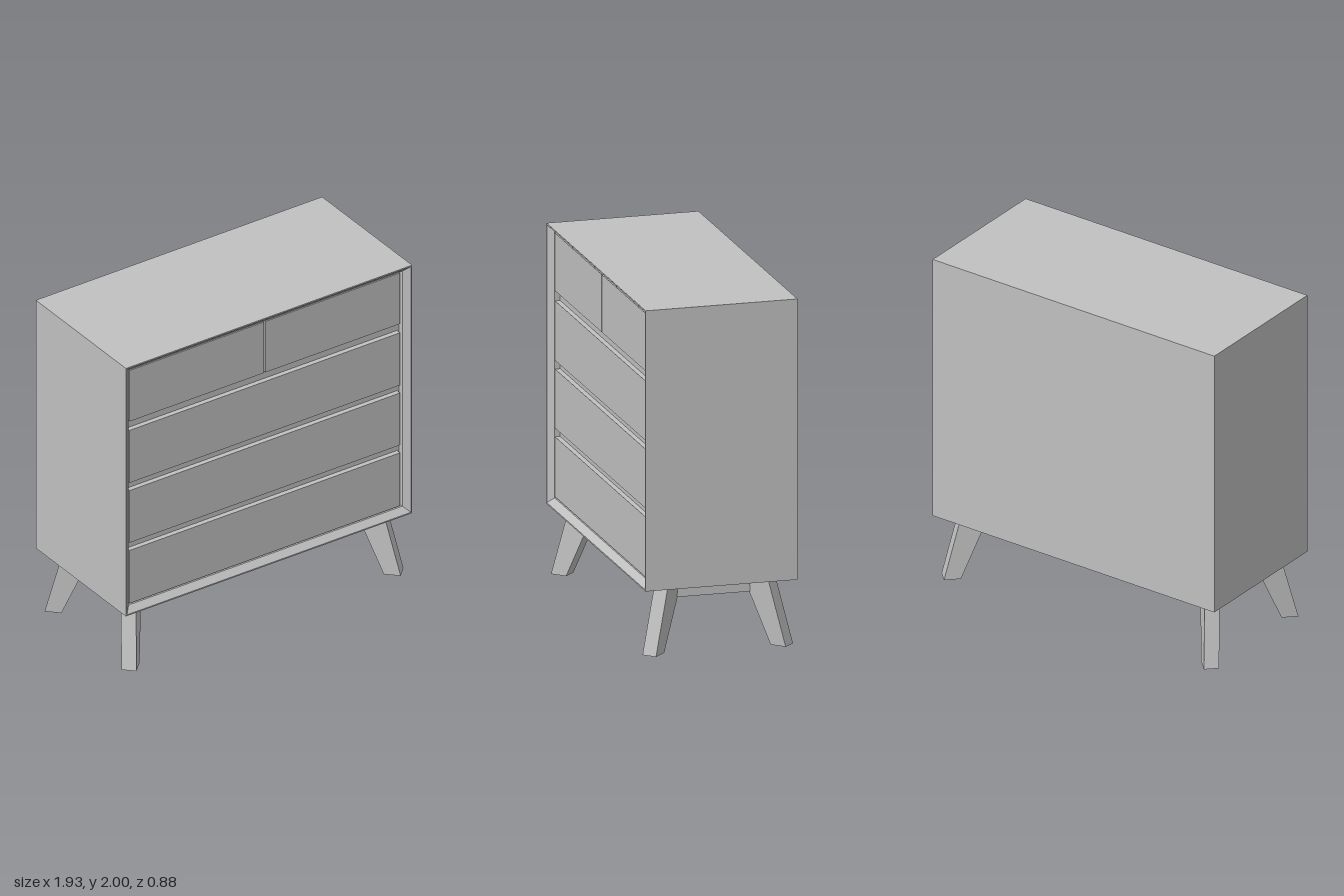
import * as THREE from 'three';

export function createModel() {
  const model = new THREE.Group();
  const grey = new THREE.MeshStandardMaterial({ color: 0xc0c0c0 });
  grey.name = 'plain grey';

  const add = (name, geometry, x = 0, y = 0, z = 0) => {
    const mesh = new THREE.Mesh(geometry, grey);
    mesh.name = name;
    mesh.position.set(x, y, z);
    model.add(mesh);
    return mesh;
  };
  // Box given by its limits
  const box = (name, x0, x1, y0, y1, z0, z1) =>
    add(name, new THREE.BoxGeometry(x1 - x0, y1 - y0, z1 - z0),
      (x0 + x1) / 2, (y0 + y1) / 2, (z0 + z1) / 2);

  // Skin over four-cornered loops, flat on every face; corners run anticlockwise
  // seen from the direction in which the loops advance
  const skin = (loops, capStart, capEnd) => {
    const pos = [];
    const quad = (a, b, c, d) => pos.push(...a, ...b, ...c, ...a, ...c, ...d);
    for (let i = 0; i + 1 < loops.length; i++) {
      for (let k = 0; k < 4; k++) {
        const n = (k + 1) % 4;
        quad(loops[i][k], loops[i][n], loops[i + 1][n], loops[i + 1][k]);
      }
    }
    if (capStart) quad(...[...loops[0]].reverse());
    if (capEnd) quad(...loops[loops.length - 1]);
    const g = new THREE.BufferGeometry();
    g.setAttribute('position', new THREE.Float32BufferAttribute(pos, 3));
    g.computeVertexNormals();
    return g;
  };

  // Cabinet: outer walls, chamfered front frame and recess, as [inset, z]
  const W = 0.965, Y0 = 0.385, Y1 = 2;
  const ring = ([d, z]) => [
    [-W + d, Y0 + d, z], [W - d, Y0 + d, z], [W - d, Y1 - d, z], [-W + d, Y1 - d, z],
  ];
  const profile = [[0, -0.44], [0, 0.44], [0.008, 0.44], [0.042, 0.405], [0.042, 0.34]];
  add('cabinet', skin(profile.map(ring), true, true));

  // Rails between the drawers
  [[1.53, 1.63], [1.14, 1.23], [0.75, 0.84]].forEach(([a, b]) =>
    box('drawerRail', -0.922, 0.922, a, b, 0.33, 0.375));

  // Drawer fronts: two small over three wide
  [[-0.915, -0.011, 1.62, 1.952], [0.001, 0.908, 1.62, 1.952],
    [-0.915, 0.908, 1.22, 1.562], [-0.915, 0.908, 0.83, 1.17],
    [-0.915, 0.908, 0.435, 0.78]].forEach(([x0, x1, y0, y1]) =>
    box('drawerFront', x0, x1, y0, y1, 0.335, 0.405));

  // Base frame under the cabinet
  for (const s of [-1, 1]) {
    const long = box('longApron', -0.81, 0.81, 0.295, 0.386, -0.02, 0.02);
    long.position.z = s * 0.27;
    const side = box('sideApron', -0.02, 0.02, 0.295, 0.386, -0.25, 0.25);
    side.position.x = s * 0.79;
  }

  // Legs: tapered, turned to the corners and splayed outwards
  const legLoop = (sx, sz, cx, cz, y, a, b) => {
    const r = Math.SQRT1_2;
    const corners = [[1, 1], [1, -1], [-1, -1], [-1, 1]].map(([u, v]) => [
      sx * (cx + r * (u * a + v * b) / 2), y, sz * (cz + r * (u * a - v * b) / 2)]);
    return sx * sz > 0 ? corners.reverse() : corners;
  };
  for (const sx of [-1, 1]) {
    for (const sz of [-1, 1]) {
      const loops = [
        legLoop(sx, sz, 0.887, 0.372, 0, 0.095, 0.085),
        legLoop(sx, sz, 0.807, 0.262, 0.387, 0.16, 0.085),
      ];
      // Keep the faces outward whichever way the corners run
      const [p, q, s] = loops[0];
      const up = (q[2] - p[2]) * (s[0] - q[0]) - (q[0] - p[0]) * (s[2] - q[2]);
      if (up < 0) loops.forEach((l) => l.reverse());
      add('leg', skin(loops, true, true));
    }
  }
  return model;
}
